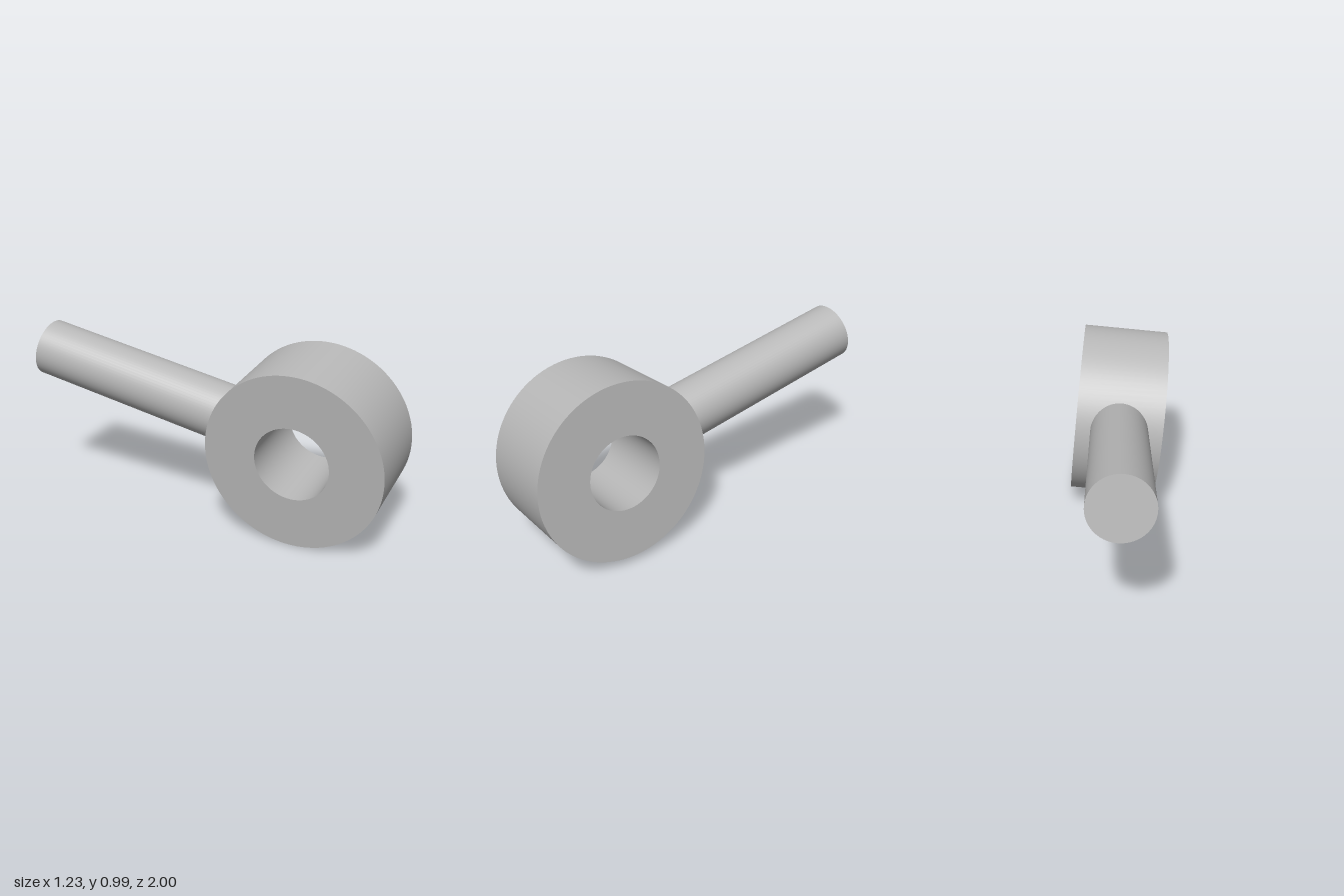
import * as THREE from 'three';
import { mergeGeometries } from 'three/addons/utils/BufferGeometryUtils.js';

const OUTER = 0.4745, HOLE = 0.198, HALF_WIDTH = 0.236;
const ROD_RADIUS = 0.156, ROD_START = 0.3, ROD_END = 1.587;

// Closed ring around y: each profile edge is its own lathe, so corners stay sharp
function ringGeometry(inner, outer, half, segments) {
  const corners = [[outer, -half], [outer, half], [inner, half], [inner, -half]]
    .map(([r, y]) => new THREE.Vector2(r, y));
  return mergeGeometries(corners.map((p, i) =>
    new THREE.LatheGeometry([p, corners[(i + 1) % 4]], segments)));
}

export function createModel() {
  const grey = new THREE.MeshStandardMaterial({ color: 0xb8b8b8 });
  grey.name = 'grey metal';

  const model = new THREE.Group();
  model.name = 'rodEnd';

  // Eye with a through hole
  const eye = new THREE.Mesh(ringGeometry(HOLE, OUTER, HALF_WIDTH, 96), grey);
  eye.name = 'eye';

  // Shank, running radially out of the eye along local x
  const shankGeometry = new THREE.CylinderGeometry(ROD_RADIUS, ROD_RADIUS, ROD_END - ROD_START, 64);
  shankGeometry.rotateZ(-Math.PI / 2).translate((ROD_START + ROD_END) / 2, 0, 0);
  const shank = new THREE.Mesh(shankGeometry, grey);
  shank.name = 'shank';

  // Tilted pose: local y is the hole axis, local x the shank direction
  const axis = new THREE.Vector3(0.4275, 0.045, -0.195).normalize();
  const along = new THREE.Vector3(-0.6715, 0.3175, -1.4025);
  along.addScaledVector(axis, -along.dot(axis)).normalize();
  const side = new THREE.Vector3().crossVectors(along, axis);
  const body = new THREE.Group();
  body.name = 'tiltedBody';
  body.quaternion.setFromRotationMatrix(new THREE.Matrix4().makeBasis(along, axis, side));
  body.position.set(0.199, 0.495, 0.4725);
  body.add(eye, shank);
  model.add(body);
  return model;
}
